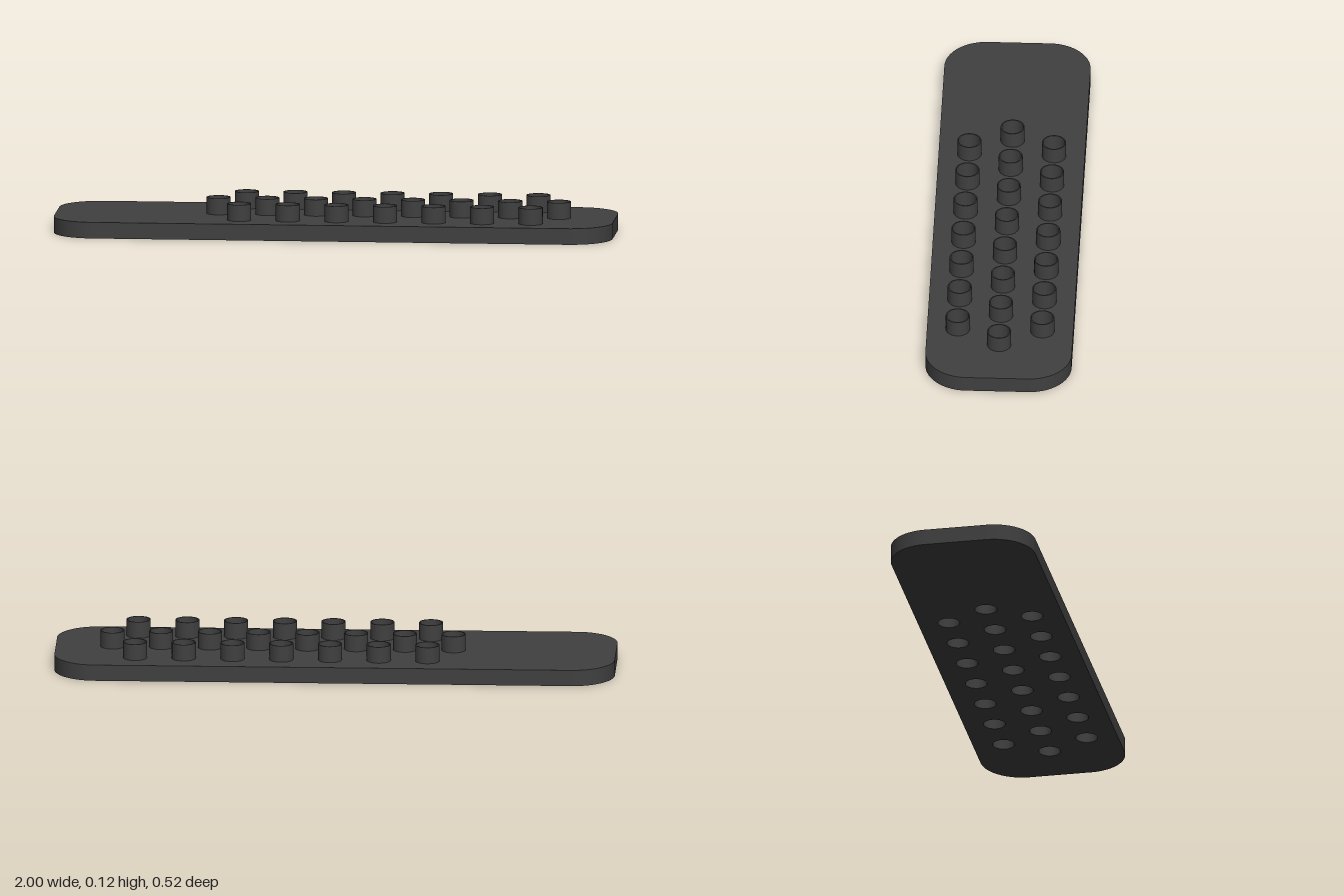
import * as THREE from 'three';

const HALF_X = 1, HALF_Z = 0.261, CORNER = 0.15;
const THICK = 0.058, TOP = 0.117;
const HOLE_R = 0.039, TUBE_R = 0.043, PITCH = 0.174;

// Tube centres: eight in the middle row, seven staggered in each outer row
function tubeCentres() {
  const list = [];
  for (const z of [-0.151, 0, 0.151]) {
    const count = z === 0 ? 8 : 7;
    const start = z === 0 ? -0.42 : -0.333;
    for (let i = 0; i < count; i++) list.push([start + i * PITCH, z]);
  }
  return list;
}

export function createModel() {
  const group = new THREE.Group();
  const charcoal = new THREE.MeshStandardMaterial({ color: 0x404040 });
  charcoal.name = 'charcoal';
  const centres = tubeCentres();

  // Rounded base plate with through holes
  const shape = new THREE.Shape();
  const cx = HALF_X - CORNER, cz = HALF_Z - CORNER, q = Math.PI / 2;
  [[cx, cz], [-cx, cz], [-cx, -cz], [cx, -cz]].forEach(([x, y], i) =>
    shape.absarc(x, y, CORNER, i * q, (i + 1) * q, false));
  for (const [x, z] of centres) {
    const hole = new THREE.Path();
    hole.absarc(x, -z, HOLE_R, 0, Math.PI * 2, true);
    shape.holes.push(hole);
  }
  const plateGeo = new THREE.ExtrudeGeometry(shape, { depth: THICK, bevelEnabled: false, curveSegments: 20 });
  plateGeo.rotateX(-Math.PI / 2);
  const plate = new THREE.Mesh(plateGeo, charcoal);
  plate.name = 'basePlate';
  group.add(plate);

  // Thin-walled open tubes standing on the plate
  const ring = new THREE.Shape();
  ring.absarc(0, 0, TUBE_R, 0, Math.PI * 2, false);
  const bore = new THREE.Path();
  bore.absarc(0, 0, HOLE_R, 0, Math.PI * 2, true);
  ring.holes.push(bore);
  const tubeGeo = new THREE.ExtrudeGeometry(ring, { depth: TOP - THICK, bevelEnabled: false, curveSegments: 20 });
  tubeGeo.rotateX(-Math.PI / 2);
  const tubes = new THREE.Group();
  tubes.name = 'tubes';
  for (const [x, z] of centres) {
    const tube = new THREE.Mesh(tubeGeo, charcoal);
    tube.name = 'tube';
    tube.position.set(x, THICK, z);
    tubes.add(tube);
  }
  group.add(tubes);
  return group;
}
